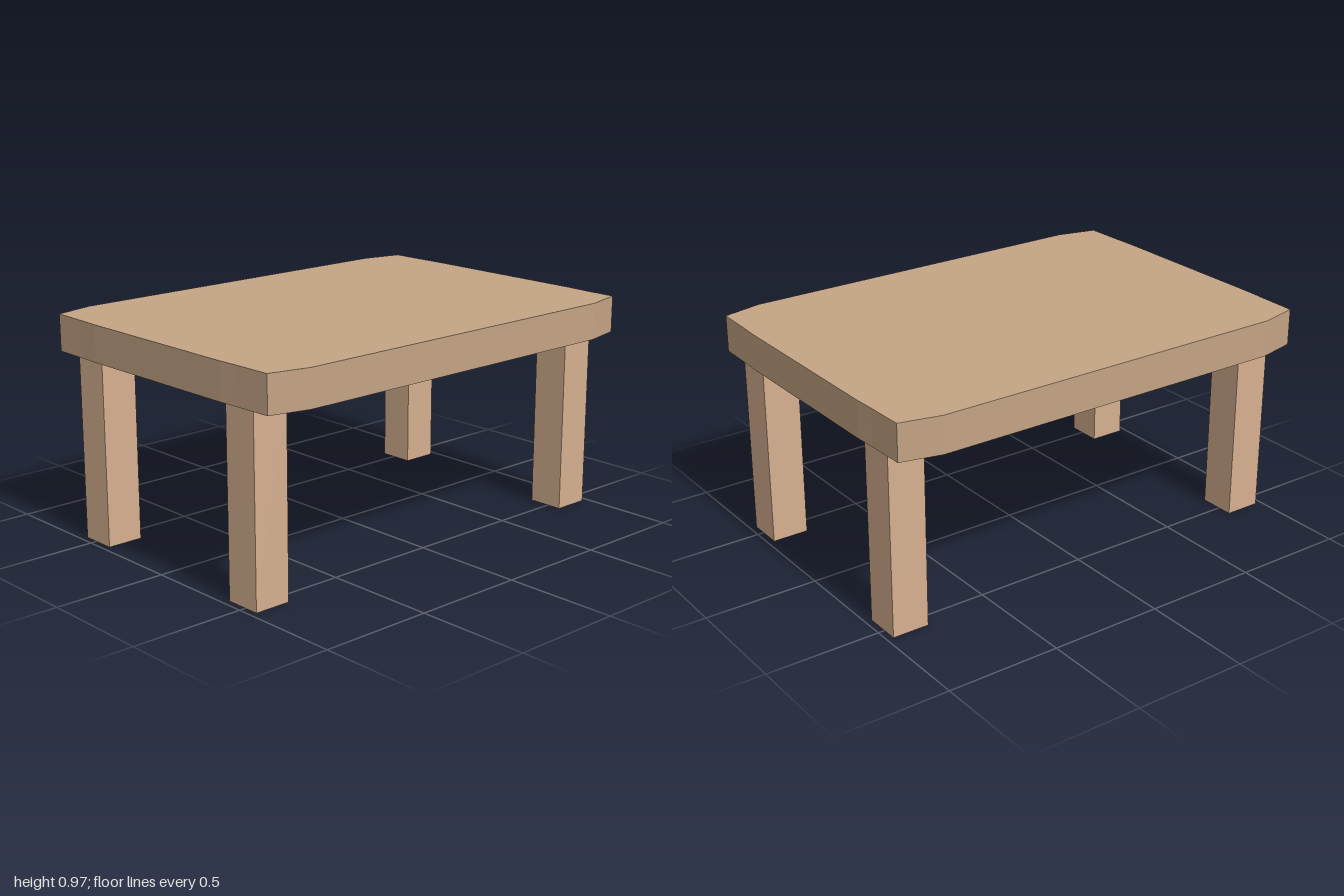
import * as THREE from 'three';

const TOP_Y = 0.97, LEG_HEIGHT = 0.81;

export function createModel() {
  const table = new THREE.Group();
  table.name = 'table';
  const topWood = new THREE.MeshStandardMaterial({ color: 0xc4a484, flatShading: true });
  const legWood = new THREE.MeshStandardMaterial({ color: 0xd6b090, flatShading: true });

  // Tabletop: one quarter of the outline, mirrored into a full loop
  const quarter = [[0.713, 0.815], [0.672, 0.992], [0.5, 0.996], [0.41, 1]];
  const half = [...quarter, ...quarter.map(([x, z]) => [-x, z]).reverse()];
  const outline = [...half, ...half.map(([x, z]) => [x, -z]).reverse()];
  const shape = new THREE.Shape(outline.map(([x, z]) => new THREE.Vector2(x, z)));
  const topGeometry = new THREE.ExtrudeGeometry(shape, {
    depth: TOP_Y - LEG_HEIGHT, bevelEnabled: false,
  });
  topGeometry.rotateX(-Math.PI / 2);
  const top = new THREE.Mesh(topGeometry, topWood);
  top.name = 'tabletop';
  top.position.y = LEG_HEIGHT;
  table.add(top);

  // Four square legs
  const legGeometry = new THREE.BoxGeometry(0.163, LEG_HEIGHT, 0.163);
  for (const [side, x] of [['Left', 0.485], ['Right', -0.485]]) {
    for (const [end, z] of [['front', 0.89], ['back', -0.89]]) {
      const leg = new THREE.Mesh(legGeometry, legWood);
      leg.name = `${end}${side}Leg`;
      leg.position.set(x, LEG_HEIGHT / 2, z);
      table.add(leg);
    }
  }
  return table;
}
